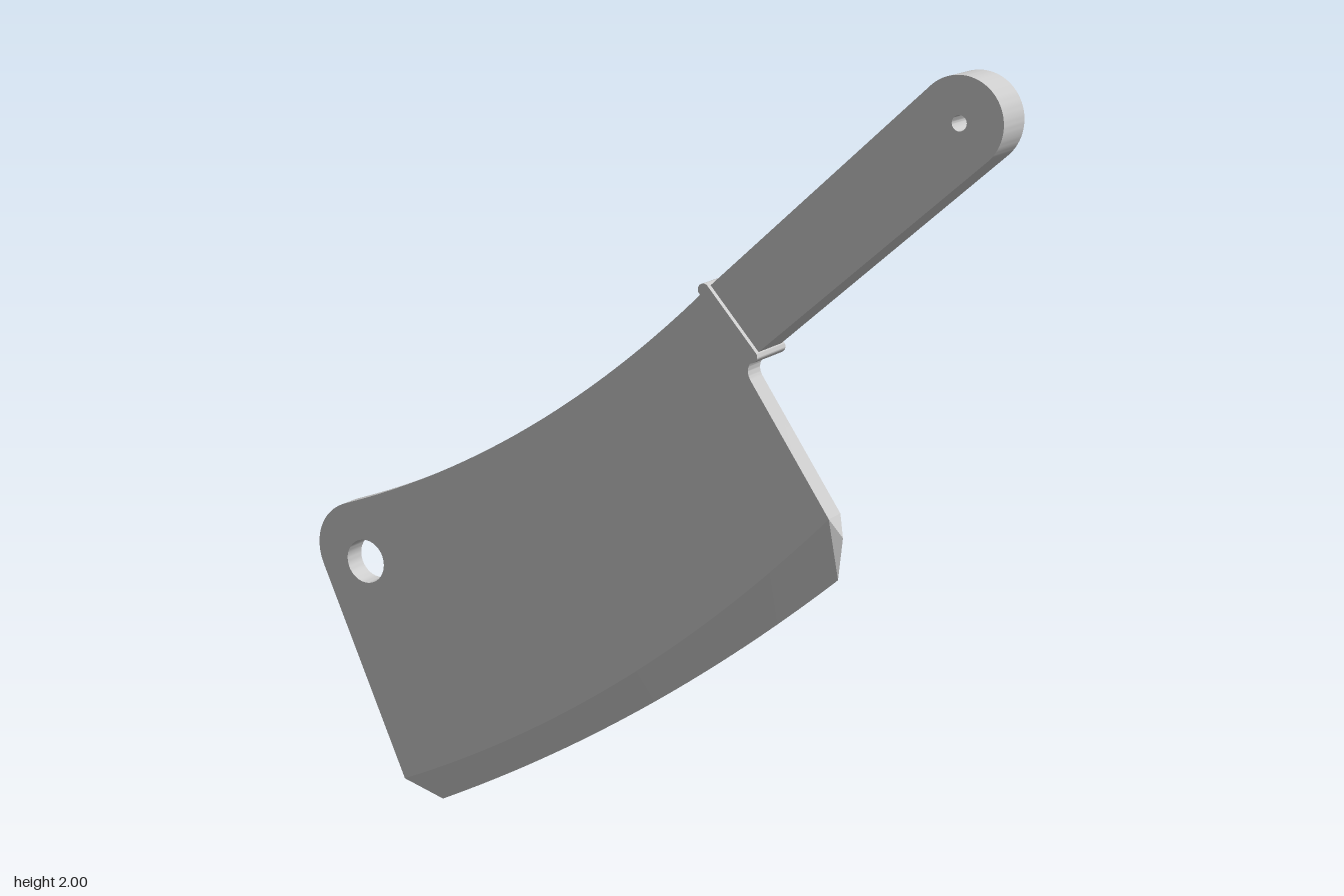
import * as THREE from 'three';
import { toCreasedNormals } from 'three/addons/utils/BufferGeometryUtils.js';

const V2 = (x, y) => new THREE.Vector2(x, y);
const steel = new THREE.MeshStandardMaterial({ color: 0xcccccc });
const BLADE_HALF = 0.03;

// Flat profile extruded symmetrically about z = 0
function slab(name, shape, depth) {
  const geo = new THREE.ExtrudeGeometry(shape, { depth, bevelEnabled: false, curveSegments: 24 });
  geo.translate(0, 0, -depth / 2);
  const mesh = new THREE.Mesh(toCreasedNormals(geo, 0.5), steel);
  mesh.name = name;
  return mesh;
}

function hole(shape, x, y, r) {
  shape.holes.push(new THREE.Path().absarc(x, y, r, 0, Math.PI * 2, true));
}

// Upper border of the ground bevel, and the sharp cutting edge below it
const grindLine = new THREE.QuadraticBezierCurve(V2(-0.7, 0.05), V2(-0.015, 0.365), V2(0.535, 0.94)).getPoints(32);
const cuttingEdge = new THREE.QuadraticBezierCurve(V2(-0.6, 0.003), V2(0.025, 0.323), V2(0.547, 0.785)).getPoints(32);
const toeCorner = V2(-0.69, 0.03);
const heelCorner = V2(0.558, 0.89);

function bladeShape() {
  const s = new THREE.Shape();
  s.moveTo(grindLine[0].x, grindLine[0].y);
  grindLine.slice(1).forEach((p) => s.lineTo(p.x, p.y));
  s.lineTo(0.325, 1.245);                                        // heel
  s.bezierCurveTo(0.308, 1.27, 0.315, 1.29, 0.345, 1.312);       // notch under the bolster
  s.lineTo(0.213, 1.465);
  s.quadraticCurveTo(-0.27, 0.99, -0.865, 0.78);                 // concave spine
  s.bezierCurveTo(-0.945, 0.755, -0.98, 0.675, -0.945, 0.6);     // rounded nose
  s.closePath();
  hole(s, -0.81, 0.63, 0.058);
  return s;
}

// Two-sided wedge from the grind line down to the cutting edge
function bevelGeometry() {
  const pos = [];
  const tri = (...pts) => pts.forEach(([p, z]) => pos.push(p.x, p.y, z));
  const bothSides = (a, b, c) => {
    tri(a, b, c);
    tri(...[a, c, b].map(([p, z]) => [p, -z]));
  };
  const top = (i) => [grindLine[i], BLADE_HALF];
  const low = (i) => [cuttingEdge[i], 0];
  const n = grindLine.length - 1;
  for (let i = 0; i < n; i++) {
    bothSides(top(i), low(i), top(i + 1));
    bothSides(top(i + 1), low(i), low(i + 1));
  }
  // clipped corners at toe and heel
  bothSides(top(0), [toeCorner, 0], low(0));
  bothSides(top(n), low(n), [heelCorner, 0]);
  // pointed end faces
  tri([grindLine[0], -BLADE_HALF], [toeCorner, 0], top(0));
  tri(top(n), [heelCorner, 0], [grindLine[n], -BLADE_HALF]);
  const geo = new THREE.BufferGeometry();
  geo.setAttribute('position', new THREE.Float32BufferAttribute(pos, 3));
  geo.computeVertexNormals();
  return toCreasedNormals(geo, 0.25);
}

// Slightly tapered grip along local +x with a rounded butt
function gripShape() {
  const length = 0.761, r = 0.106;
  const s = new THREE.Shape();
  s.moveTo(0, -0.097);
  s.lineTo(length, -r);
  s.absarc(length, 0, r, -Math.PI / 2, Math.PI / 2, false);
  s.lineTo(0, 0.097);
  s.closePath();
  hole(s, length, 0, 0.018);
  return s;
}

// Narrow bar with rounded ends, across the grip
function bolsterShape() {
  const r = 0.015, h = 0.0975;
  const s = new THREE.Shape();
  s.moveTo(r, -h);
  s.lineTo(r, h);
  s.absarc(0, h, r, 0, Math.PI, false);
  s.lineTo(-r, -h);
  s.absarc(0, -h, r, Math.PI, Math.PI * 2, false);
  return s;
}

export function createModel() {
  const model = new THREE.Group();
  model.name = 'cleaver';

  const blade = new THREE.Group();
  blade.name = 'blade';
  const bevel = new THREE.Mesh(bevelGeometry(), steel);
  bevel.name = 'bladeBevel';
  blade.add(slab('bladeBody', bladeShape(), BLADE_HALF * 2), bevel);

  const handle = new THREE.Group();
  handle.name = 'handle';
  handle.add(slab('grip', gripShape(), 0.112), slab('bolster', bolsterShape(), 0.14));
  handle.position.set(0.282, 1.388, 0);
  handle.rotation.z = THREE.MathUtils.degToRad(41.7);

  model.add(blade, handle);
  return model;
}
